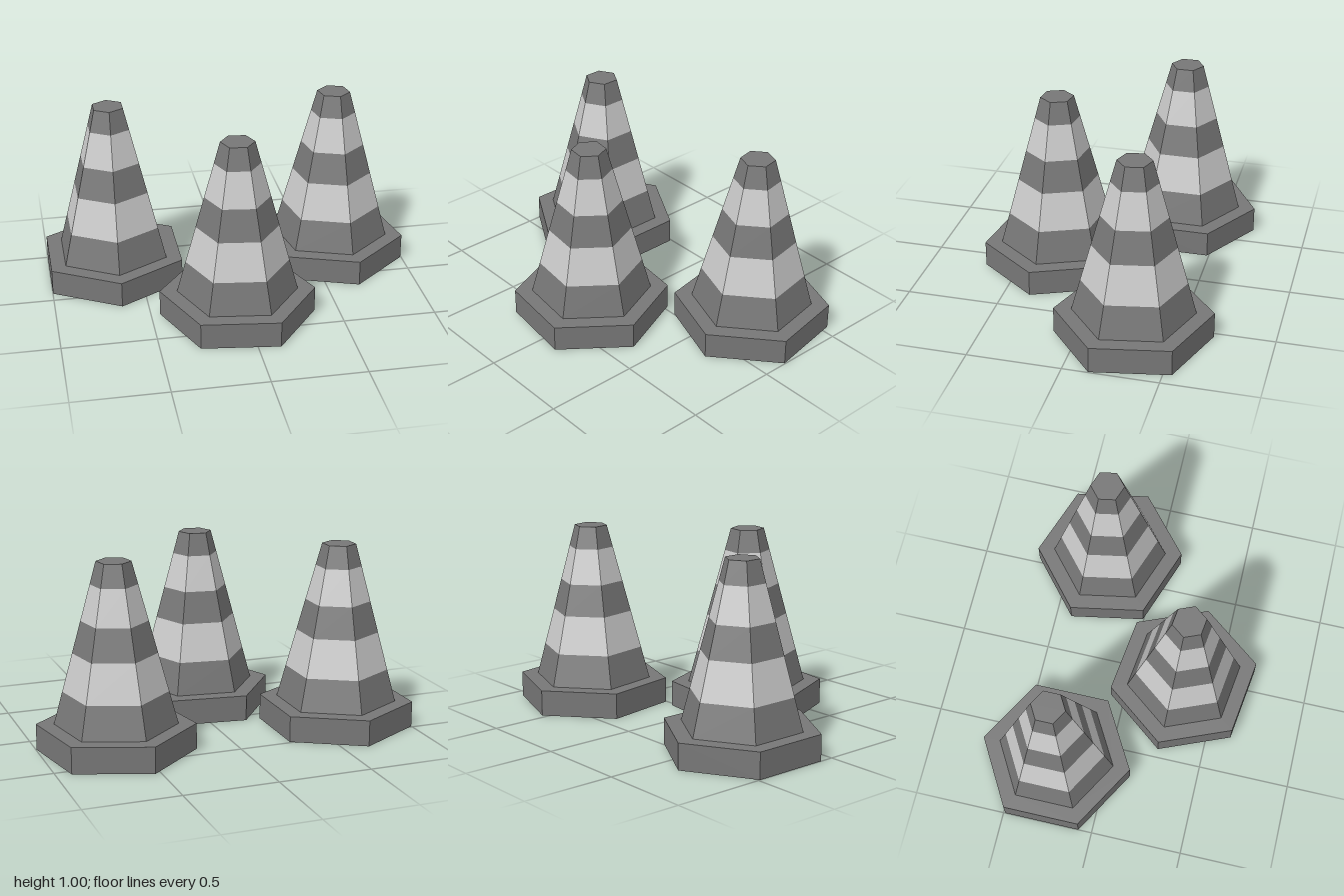
import * as THREE from 'three';

const SIDES = 6;
const BASE_RADIUS = 0.415, BASE_HEIGHT = 0.14;
const CONE_BOTTOM = 0.322, CONE_TOP = 0.09;
// Heights at which the stripes change colour
const LEVELS = [BASE_HEIGHT, 0.315, 0.52, 0.69, 0.88, 1];

// Cone radius at a given height (straight taper)
const radiusAt = (y) =>
  THREE.MathUtils.mapLinear(y, BASE_HEIGHT, 1, CONE_BOTTOM, CONE_TOP);

const makeMaterial = (color) =>
  new THREE.MeshStandardMaterial({ color, flatShading: true, side: THREE.DoubleSide });

function createCone(dark, light) {
  const cone = new THREE.Group();
  const add = (name, geometry, material) => {
    const mesh = new THREE.Mesh(geometry, material);
    mesh.name = name;
    cone.add(mesh);
    return mesh;
  };

  // Hollow foot: outer wall and the ledge around the cone
  const profile = [
    new THREE.Vector2(BASE_RADIUS, 0),
    new THREE.Vector2(BASE_RADIUS, BASE_HEIGHT),
    new THREE.Vector2(CONE_BOTTOM, BASE_HEIGHT),
  ];
  add('base', new THREE.LatheGeometry(profile, SIDES), dark);

  // Alternating stripes, open inside
  for (let i = 0; i < LEVELS.length - 1; i++) {
    const y0 = LEVELS[i], y1 = LEVELS[i + 1];
    const band = new THREE.CylinderGeometry(radiusAt(y1), radiusAt(y0), y1 - y0, SIDES, 1, true);
    const isLight = i % 2 === 1;
    add(isLight ? 'lightStripe' : 'darkStripe', band, isLight ? light : dark)
      .position.y = (y0 + y1) / 2;
  }

  // Flat tip
  const cap = new THREE.CircleGeometry(CONE_TOP, SIDES, Math.PI / 2);
  cap.rotateX(-Math.PI / 2);
  add('tip', cap, dark).position.y = 1;
  return cone;
}

export function createModel() {
  const model = new THREE.Group();
  model.name = 'trafficCones';
  const dark = makeMaterial(0x777777);
  const light = makeMaterial(0xcccccc);

  // Placement: x, z, turn in degrees
  const places = [
    ['rightCone', -0.64, -0.282, 0],
    ['leftCone', 0.605, -0.275, 10.5],
    ['frontCone', -0.04, 0.305, 22.5],
  ];
  for (const [name, x, z, turn] of places) {
    const cone = createCone(dark, light);
    cone.name = name;
    cone.position.set(x, 0, z);
    cone.rotation.y = THREE.MathUtils.degToRad(turn);
    model.add(cone);
  }
  return model;
}
